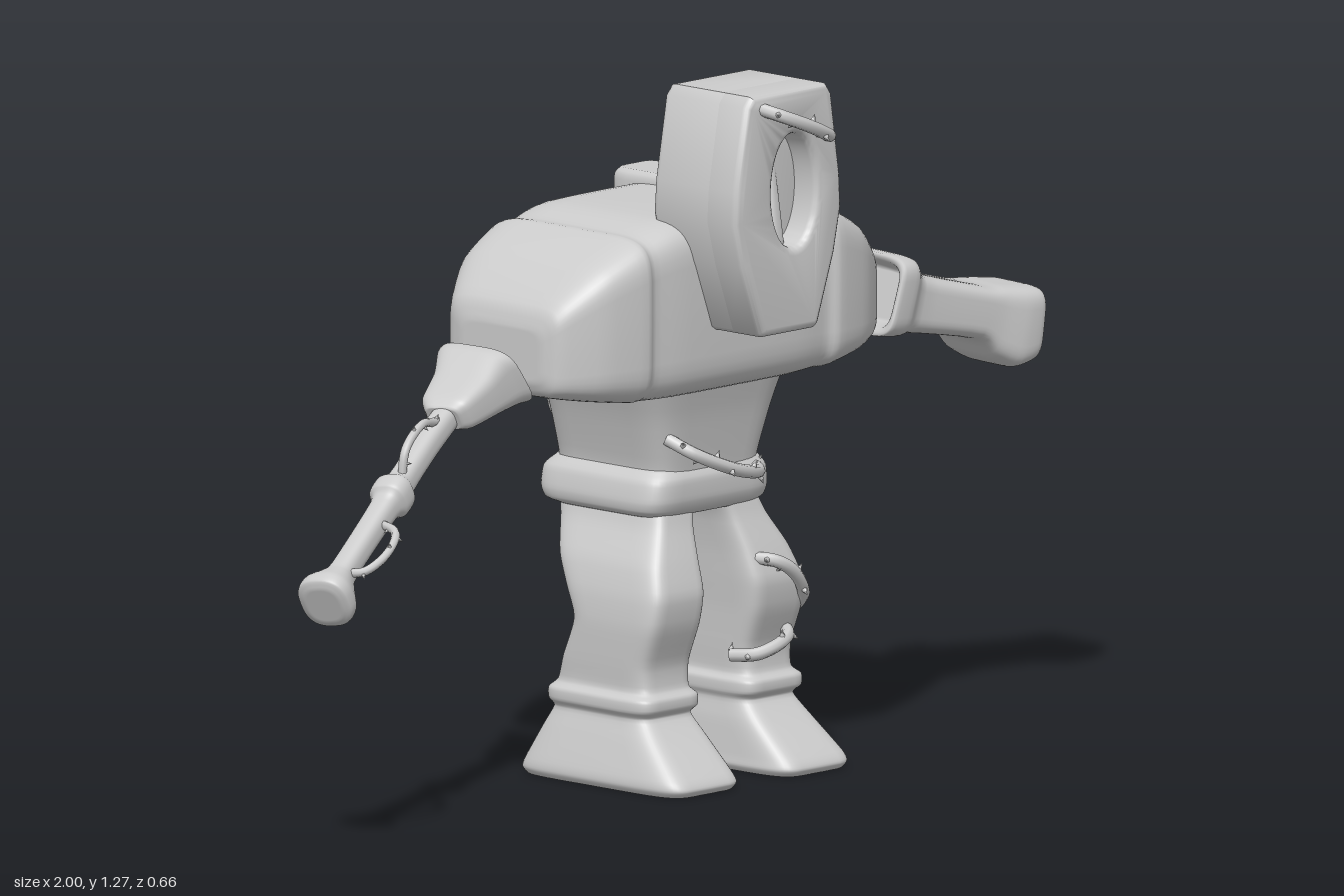
import * as THREE from 'three';
import { toCreasedNormals } from 'three/addons/utils/BufferGeometryUtils.js';

const V = (a) => new THREE.Vector3(...a);
const MID = 0.135; // symmetry plane of body and legs

// Smooth skin through sections [centre, halfU, halfV]; n sets how boxy the outline is.
function loft(sections, n = 5, steps = 4, sides = 48) {
  const tracks = [0, 1, 2].map((k) =>
    new THREE.CatmullRomCurve3(sections.map((s) => V(s[k])), false, 'catmullrom', 0.35));
  const rows = (sections.length - 1) * steps;
  const pos = [], idx = [];
  const ring = (t, s) => {
    const [c, u, v] = tracks.map((curve) => curve.getPoint(t));
    for (let j = 0; j < sides; j++) {
      const a = (j / sides) * Math.PI * 2, x = Math.cos(a), y = Math.sin(a);
      const p = c.clone()
        .addScaledVector(u, s * Math.sign(x) * Math.abs(x) ** (2 / n))
        .addScaledVector(v, s * Math.sign(y) * Math.abs(y) ** (2 / n));
      pos.push(p.x, p.y, p.z);
    }
  };
  ring(0, 0.001); ring(0, 0.88);
  for (let i = 0; i <= rows; i++) ring(i / rows, 1);
  ring(1, 0.88); ring(1, 0.001);
  for (let i = 0; i < rows + 4; i++) {
    for (let j = 0; j < sides; j++) {
      const a = i * sides + j, b = i * sides + (j + 1) % sides;
      idx.push(a, b, a + sides, b, b + sides, a + sides);
    }
  }
  // Turn the faces outward
  let volume = 0;
  const at = (i) => new THREE.Vector3().fromArray(pos, i * 3);
  for (let i = 0; i < idx.length; i += 3) volume += at(idx[i]).dot(at(idx[i + 1]).cross(at(idx[i + 2])));
  if (volume < 0) idx.reverse();
  const g = new THREE.BufferGeometry();
  g.setAttribute('position', new THREE.Float32BufferAttribute(pos, 3));
  g.setIndex(idx);
  g.computeVertexNormals();
  return g;
}

// Upright section from limits: y, x0, x1, z0, z1
const flat = ([y, x0, x1, z0, z1]) =>
  [[(x0 + x1) / 2, y, (z0 + z1) / 2], [(x1 - x0) / 2, 0, 0], [0, 0, (z1 - z0) / 2]];
// Sideways section from limits: x, y0, y1, z0, z1
const side = ([x, y0, y1, z0, z1]) =>
  [[x, (y0 + y1) / 2, (z0 + z1) / 2], [0, (y1 - y0) / 2, 0], [0, 0, (z1 - z0) / 2]];

export function createModel() {
  const model = new THREE.Group();
  const material = new THREE.MeshStandardMaterial({ color: 0xcccccc });
  const add = (name, geometry, parent = model) => {
    const mesh = new THREE.Mesh(geometry, material);
    mesh.name = name;
    parent.add(mesh);
    return mesh;
  };

  // Thorny cord along a few points
  const vine = (name, points, r = 0.012) => {
    const group = new THREE.Group();
    group.name = name;
    const curve = new THREE.CatmullRomCurve3(points.map(V));
    add('cord', new THREE.TubeGeometry(curve, 32, r, 8), group);
    const count = Math.max(4, Math.round(curve.getLength() / 0.035));
    for (let i = 0; i <= count; i++) {
      const t = i / count, tan = curve.getTangentAt(t);
      const out = new THREE.Vector3(0.3, 0.2, 1).cross(tan).normalize().applyAxisAngle(tan, i * 2.2);
      const thorn = add('thorn', new THREE.ConeGeometry(r * 0.5, r * 1.3, 6), group);
      thorn.position.copy(curve.getPointAt(t)).addScaledVector(out, r * 1.4);
      thorn.quaternion.setFromUnitVectors(new THREE.Vector3(0, 1, 0), out);
    }
    model.add(group);
  };

  // Torso: half of the sections, mirrored
  const half = [
    [-0.287, 0.76, 0.86, -0.15, 0.05], [-0.272, 0.735, 0.9, -0.19, 0.085],
    [-0.2, 0.72, 0.965, -0.235, 0.13], [-0.115, 0.707, 1.008, -0.252, 0.15],
    [-0.085, 0.705, 1.01, -0.245, 0.14], [0, 0.702, 1.03, -0.25, 0.148],
  ];
  const otherHalf = half.map(([x, ...rest]) => [2 * MID - x, ...rest]).reverse();
  add('torso', loft([...half, ...otherHalf].map(side), 6));
  add('backBlock', loft([
    [0.92, 0.215, 0.315, -0.255, -0.08], [1.03, 0.21, 0.32, -0.26, -0.07], [1.05, 0.22, 0.31, -0.25, -0.08],
  ].map(flat), 7));

  // Waist and belt
  add('waist', loft([
    [0.74, -0.055, 0.325, -0.22, 0.11], [0.66, -0.025, 0.3, -0.215, 0.09],
    [0.57, 0, 0.275, -0.212, 0.075], [0.53, 0, 0.275, -0.212, 0.07],
  ].map(flat), 6));
  add('belt', loft([
    [0.565, 0, 0.275, -0.212, 0.07], [0.545, -0.018, 0.288, -0.23, 0.082],
    [0.51, -0.026, 0.292, -0.23, 0.082], [0.49, -0.022, 0.288, -0.222, 0.075],
    [0.48, -0.005, 0.27, -0.2, 0.065],
  ].map(flat), 7));

  // Legs, ankle rings and feet
  const legSections = [
    [0.51, 0.005, 0.115, -0.2, 0.06], [0.46, -0.012, 0.095, -0.182, 0.075],
    [0.4, -0.045, 0.085, -0.155, 0.1], [0.345, -0.062, 0.08, -0.122, 0.118],
    [0.29, -0.068, 0.075, -0.097, 0.112], [0.22, -0.066, 0.072, -0.125, 0.088],
    [0.175, -0.064, 0.07, -0.14, 0.09], [0.16, -0.078, 0.08, -0.153, 0.105],
    [0.14, -0.078, 0.08, -0.153, 0.105], [0.125, -0.068, 0.074, -0.147, 0.092],
    [0.09, -0.08, 0.08, -0.165, 0.125], [0.03, -0.1, 0.085, -0.195, 0.19],
    [0.012, -0.102, 0.087, -0.202, 0.202], [0, -0.095, 0.08, -0.195, 0.195],
  ];
  for (const [name, mirror] of [['rightLeg', false], ['leftLeg', true]]) {
    add(name, loft(legSections.map(([y, a, b, c, d]) =>
      flat(mirror ? [y, 2 * MID - b, 2 * MID - a, c, d] : [y, a, b, c, d])), 6));
  }

  // Head: solid rear with a front plate that leaves a sunken oval face
  const outline = () => new THREE.Shape([
    [0.05, 0.835], [0.06, 0.828], [0.19, 0.828], [0.2, 0.835], [0.243, 0.96], [0.26, 1.04], [0.257, 1.1],
    [0.235, 1.25], [0.222, 1.268], [0.03, 1.268], [0.015, 1.25], [-0.012, 1.1], [-0.016, 1.04], [0.005, 0.96],
  ].map(([x, y]) => new THREE.Vector2(x, y)));
  const slab = (shape, z0, z1, b) => {
    const g = new THREE.ExtrudeGeometry(shape, {
      depth: z1 - z0 - 2 * b, bevelThickness: b, bevelSize: b, bevelOffset: -b, bevelSegments: 4, curveSegments: 32,
    });
    return toCreasedNormals(g.translate(0, 0, z0 + b), 0.7);
  };
  const plate = outline();
  plate.holes.push(new THREE.Path().absellipse(0.137, 1.085, 0.056, 0.103, 0, Math.PI * 2));
  add('headRear', slab(outline(), 0.062, 0.215, 0.015));
  add('facePlate', slab(plate, 0.18, 0.272, 0.015));
  add('nose', loft([
    [0.98, 0.12, 0.154, 0.2, 0.235], [1.06, 0.125, 0.149, 0.2, 0.225], [1.16, 0.13, 0.144, 0.2, 0.21],
  ].map(flat), 2.5));

  // Left forearm: flared hollow cuff, sleeve and blocky hand
  add('leftForearm', loft([
    [[0.66, 0.79, -0.03], [0.016, 0.045, 0], [-0.01, 0, 0.08]],
    [[0.63, 0.796, -0.035], [0.02, 0.058, 0], [-0.015, 0, 0.095]],
    [[0.626, 0.796, -0.035], [0.023, 0.07, 0], [-0.015, 0, 0.11]],
    [[0.665, 0.79, -0.032], [0.022, 0.07, 0], [-0.012, 0, 0.105]],
    [[0.7, 0.773, -0.03], [0.015, 0.053, 0], [-0.01, 0, 0.09]],
    [[0.85, 0.738, -0.01], [0.012, 0.047, 0], [-0.01, 0, 0.086]],
    [[0.89, 0.717, -0.004], [0.014, 0.064, 0], [-0.01, 0, 0.086]],
    [[0.935, 0.703, 0.002], [0.016, 0.073, 0], [-0.01, 0, 0.09]],
    [[0.972, 0.704, 0.006], [0.01, 0.066, 0], [-0.009, 0, 0.087]],
    [[0.989, 0.703, 0.008], [0.006, 0.045, 0], [-0.008, 0, 0.07]],
  ], 5));

  // Right arm: flared hollow cuff, thin shaft with a joint and a flared tip
  const rod = (x, y, z, r) => [[x, y, z], [-0.45 * r, 0.89 * r, 0], [0.24 * r, 0.12 * r, 0.96 * r]];
  add('rightCuff', loft([
    [[-0.41, 0.775, 0], [-0.025, 0.035, 0], [0.004, 0, 0.055]],
    [[-0.362, 0.785, -0.015], [-0.032, 0.045, 0], [0.004, 0, 0.072]],
    [[-0.358, 0.786, -0.015], [-0.038, 0.054, 0], [0.005, 0, 0.086]],
    [[-0.385, 0.782, -0.01], [-0.034, 0.052, 0], [0.006, 0, 0.08]],
    [[-0.44, 0.765, 0.015], [-0.022, 0.04, 0], [0.008, 0, 0.066]],
    [[-0.51, 0.742, 0.035], [-0.014, 0.03, 0], [0.01, 0, 0.05]],
    [[-0.53, 0.733, 0.042], [-0.01, 0.02, 0], [0.01, 0, 0.032]],
  ], 4));
  add('rightShaft', loft([
    rod(-0.49, 0.75, 0.03, 0.024), rod(-0.6, 0.695, 0.062, 0.024), rod(-0.69, 0.645, 0.09, 0.025),
    rod(-0.71, 0.633, 0.095, 0.036), rod(-0.735, 0.618, 0.102, 0.036), rod(-0.755, 0.606, 0.108, 0.025),
    rod(-0.9, 0.522, 0.15, 0.024), rod(-0.925, 0.505, 0.157, 0.032),
    rod(-0.95, 0.485, 0.162, 0.05), rod(-0.968, 0.474, 0.167, 0.05), rod(-0.973, 0.47, 0.169, 0.036),
  ], 2.6));

  // Thorny vines
  vine('headVine', [[0.05, 1.245, 0.262], [0.08, 1.23, 0.298], [0.14, 1.205, 0.31], [0.2, 1.18, 0.295], [0.225, 1.175, 0.262]]);
  vine('waistVine', [[0.015, 0.625, 0.07], [0.04, 0.6, 0.115], [0.12, 0.565, 0.135], [0.21, 0.545, 0.11], [0.25, 0.545, 0.06]]);
  vine('backCable', [[0.23, 0.94, -0.24], [0.21, 0.9, -0.28], [0.16, 0.82, -0.305],
    [0.11, 0.72, -0.295], [0.07, 0.64, -0.255], [0.05, 0.61, -0.2]], 0.015);
  vine('kneeVine', [[0.21, 0.385, 0.085], [0.24, 0.38, 0.125], [0.28, 0.355, 0.132], [0.32, 0.31, 0.115], [0.335, 0.28, 0.08]]);
  vine('shinVine', [[0.18, 0.21, 0.07], [0.2, 0.215, 0.115], [0.24, 0.228, 0.128], [0.28, 0.24, 0.115], [0.305, 0.25, 0.08]]);
  vine('upperArmVine', [[-0.7, 0.65, 0.1], [-0.69, 0.705, 0.1], [-0.635, 0.74, 0.085], [-0.575, 0.735, 0.06], [-0.54, 0.735, 0.045]], 0.008);
  vine('lowerArmVine', [[-0.91, 0.52, 0.16], [-0.895, 0.525, 0.195], [-0.85, 0.55, 0.205], [-0.8, 0.58, 0.18], [-0.785, 0.59, 0.125]], 0.008);

  return model;
}
